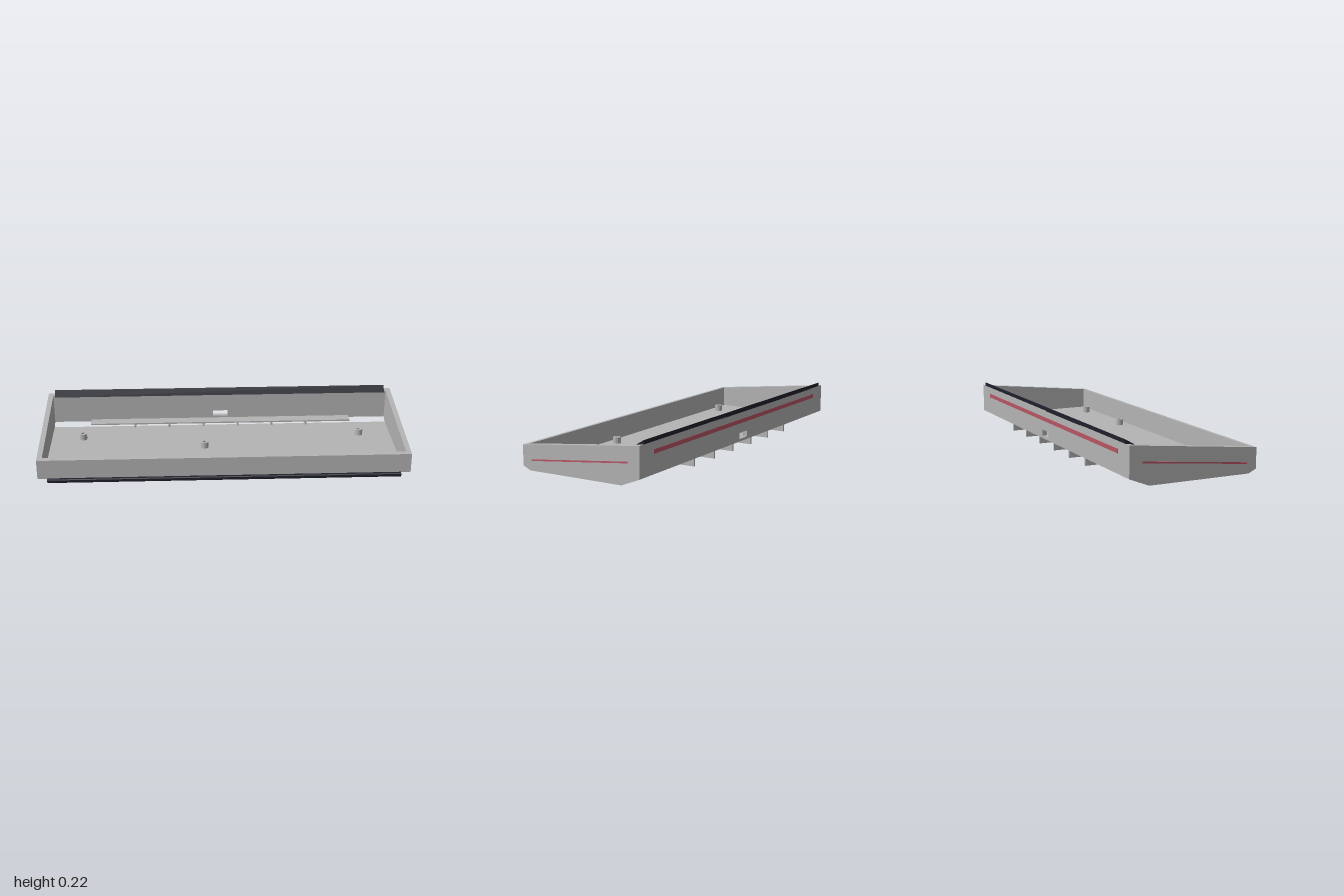
import * as THREE from 'three';

export function createModel() {
  const model = new THREE.Group();
  model.name = 'keyboardCase';
  const mat = (name, color) => {
    const m = new THREE.MeshStandardMaterial({ color });
    m.name = name;
    return m;
  };
  const grey = mat('case grey', 0xb4b4b4);
  const black = mat('rubber black', 0x20202c);
  const red = mat('stripe red', 0xb85565);

  const add = (name, geometry, material, parent = model) => {
    const mesh = new THREE.Mesh(geometry, material);
    mesh.name = name;
    parent.add(mesh);
    return mesh;
  };
  // Prism with a [z, y] profile, running from x0 to x1
  const prism = (points, x0, x1) => {
    const shape = new THREE.Shape(points.map(([z, y]) => new THREE.Vector2(z, y)));
    const g = new THREE.ExtrudeGeometry(shape, { depth: x1 - x0, bevelEnabled: false });
    return g.rotateY(-Math.PI / 2).translate(x1, 0, 0);
  };
  const box = (x0, x1, y0, y1, z0, z1) =>
    new THREE.BoxGeometry(x1 - x0, y1 - y0, z1 - z0)
      .translate((x0 + x1) / 2, (y0 + y1) / 2, (z0 + z1) / 2);

  const outer = 0.998, inner = 0.97;   // side wall faces
  const front = 0.343, back = -0.358, backInner = -0.332;
  const floorTop = 0.016;
  const rimY = z => 0.128 + (front - z) * 0.107;

  // Side walls with their sloping accent stripes
  const sideProfile = [
    [front, rimY(front)], [front, 0.02], [0.3, 0], [-0.253, 0],
    [back, 0.042], [back, rimY(back)],
  ];
  const stripeProfile = [[0.289, 0.05], [-0.29, 0.112], [-0.29, 0.12], [0.289, 0.058]];
  for (const [side, s] of [['left', 1], ['right', -1]]) {
    const span = (a, b) => (s > 0 ? [a, b] : [-b, -a]);
    add(side + 'Wall', prism(sideProfile, ...span(inner, outer)), grey);
    add(side + 'Stripe', prism(stripeProfile, ...span(outer - 0.002, 1)), red);
  }

  // Floor and front wall in one section
  add('floorAndFrontWall', prism([
    [front, rimY(front)], [front, 0.02], [0.3, 0], [-0.253, 0],
    [-0.293, floorTop], [0.317, floorTop], [0.317, rimY(0.317)],
  ], -inner, inner), grey);

  // Back wall, left open around the cable port
  const backWall = new THREE.Group();
  backWall.name = 'backWall';
  model.add(backWall);
  const port = { x: 0.042, y0: 0.056, y1: 0.089 };
  const foot = [[backInner, 0.032], [back, 0.042]];
  const rim = [[back, rimY(back)], [backInner, rimY(backInner)]];
  add('backWallLeft', prism([...foot, ...rim], port.x, inner), grey, backWall);
  add('backWallRight', prism([...foot, ...rim], -inner, -port.x), grey, backWall);
  add('backWallBelowPort',
    prism([...foot, [back, port.y0], [backInner, port.y0]], -port.x, port.x), grey, backWall);
  add('backWallAbovePort',
    prism([[backInner, port.y1], [back, port.y1], ...rim], -port.x, port.x), grey, backWall);
  add('backStripe', box(-0.88, 0.88, 0.142, 0.164, back - 0.002, back + 0.002), red);

  // Rear shelf carried by fins
  add('rearShelf', box(-0.757, 0.757, 0.036, 0.044, backInner - 0.002, -0.27), grey);
  for (let i = 0; i < 6; i++) {
    const x = -0.5 + i * 0.2;
    add('shelfFin', box(x - 0.005, x + 0.005, 0.001, 0.042, -0.353, -0.272), grey);
  }

  // Rubber strips: wedge on the back rim, bumper along the front foot
  add('rearWedge', prism([[-0.312, 0.197], [back, 0.2], [back, 0.224]], -0.96, 0.96), black);
  add('frontBumper', prism([
    [0.322, 0.001], [0.356, 0.001], [0.36, 0.005], [0.36, 0.018],
    [0.356, 0.022], [0.322, 0.022], [0.318, 0.018], [0.318, 0.005],
  ], -0.945, 0.945), black);

  // Hollow screw posts
  const ring = new THREE.Shape().absarc(0, 0, 0.021, 0, Math.PI * 2, false);
  ring.holes.push(new THREE.Path().absarc(0, 0, 0.01, 0, Math.PI * 2, true));
  const postGeometry = new THREE.ExtrudeGeometry(ring,
    { depth: 0.034, bevelEnabled: false, curveSegments: 24 }).rotateX(-Math.PI / 2);
  const posts = [
    [-0.79, -0.135], [0.79, -0.135], [-0.1, -0.005],
    [-0.79, 0.253], [0.32, 0.253], [0.79, 0.253],
  ];
  for (const [x, z] of posts) {
    add('screwPost', postGeometry, grey).position.set(x, floorTop, z);
  }

  return model;
}
